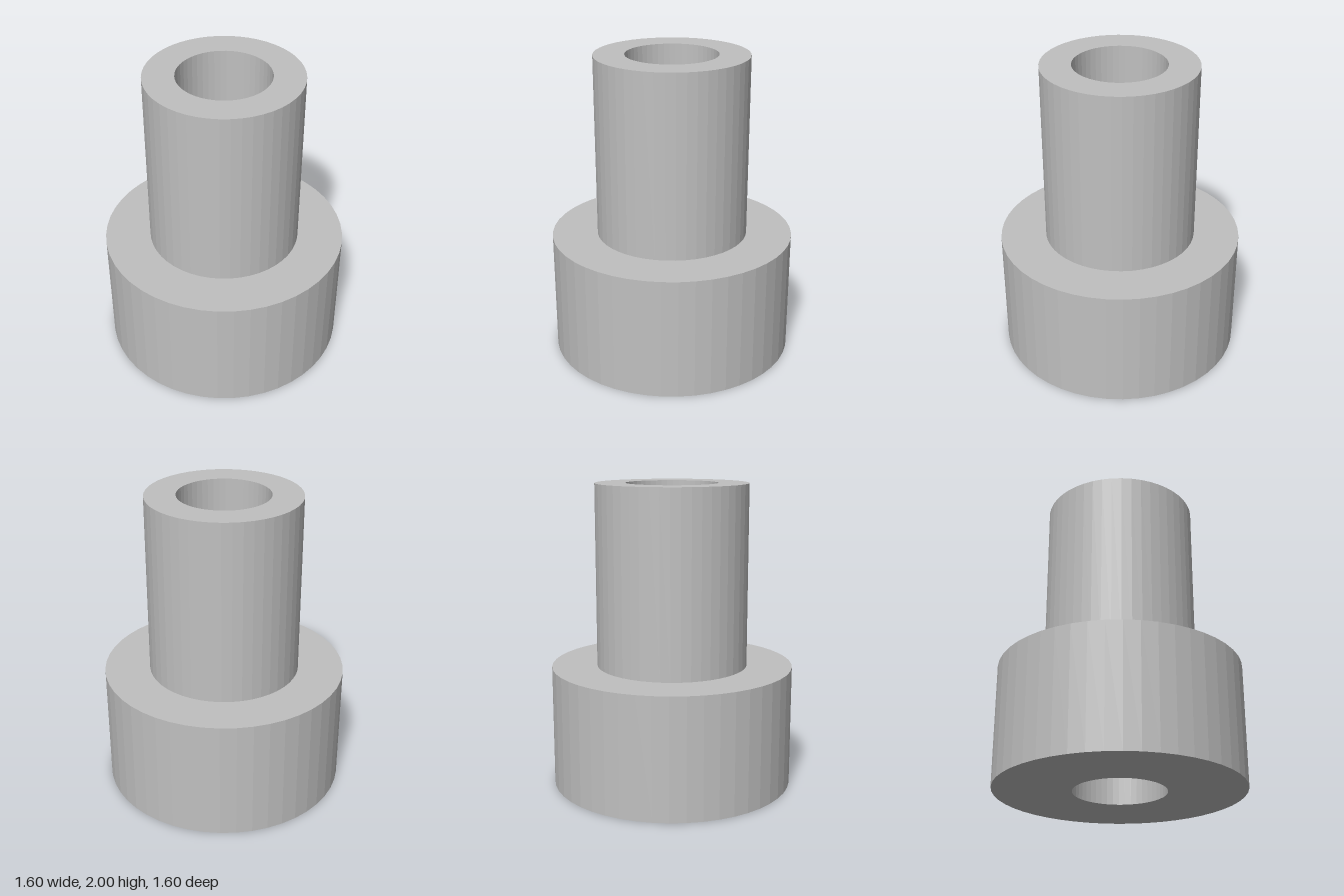
import * as THREE from 'three';

const SIDES = 48;
const BORE = 0.3, COLLAR = 0.8, SLEEVE = 0.5;
const SHOULDER = 0.8, TOP = 2;

export function createModel() {
  const metal = new THREE.MeshStandardMaterial({ color: 0xc0c0c0 });
  metal.name = 'grey metal';
  metal.flatShading = true;

  const group = new THREE.Group();
  group.name = 'flangedBushing';

  // Turns a profile of [radius, height] points around the y axis
  const turn = (name, profile) => {
    const points = profile.map(([r, y]) => new THREE.Vector2(r, y));
    const mesh = new THREE.Mesh(new THREE.LatheGeometry(points, SIDES), metal);
    mesh.name = name;
    group.add(mesh);
  };

  // Wide collar: underside, outer wall and shoulder
  turn('collar', [[BORE, 0], [COLLAR, 0], [COLLAR, SHOULDER], [SLEEVE, SHOULDER]]);
  // Narrow sleeve: outer wall and top rim
  turn('sleeve', [[SLEEVE, SHOULDER], [SLEEVE, TOP], [BORE, TOP]]);
  // Through hole, running down so that its wall faces the axis
  turn('bore', [[BORE, TOP], [BORE, 0]]);

  return group;
}
